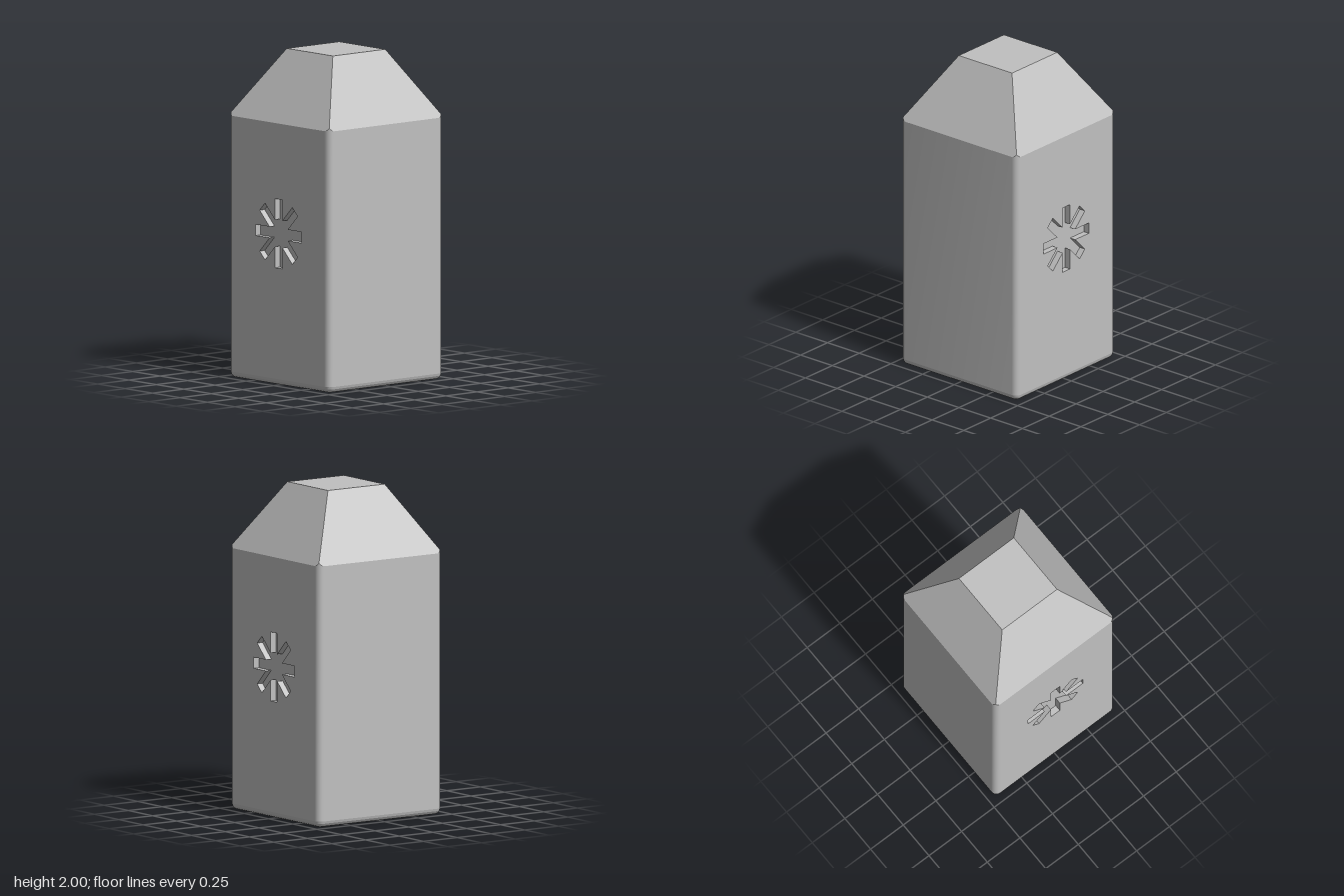
import * as THREE from 'three';
import { mergeGeometries, toCreasedNormals } from 'three/addons/utils/BufferGeometryUtils.js';

const HALF = 0.46, RADIUS = 0.04, FLAT = HALF - RADIUS; // body half width, corner radius
const STEPS = 8, COUNT = 4 * (STEPS + 1);               // points around the rounded square
const TOP = 2, CAP = 0.21, EAVE = 1.59, FOOT = 0.035;
const DEPTH = 0.04;                                     // depth of the recesses

const roofHeight = (x, z) =>
  TOP - (Math.max(Math.abs(x), Math.abs(z)) - CAP) * (TOP - EAVE) / (HALF - CAP);

// Rounded square at a given inset; height is a number or a rule of x and z
function ring(inset, height) {
  const points = [];
  for (let k = 0; k < 4; k++) {
    const cx = k === 0 || k === 3 ? FLAT : -FLAT, cz = k < 2 ? FLAT : -FLAT;
    for (let i = 0; i <= STEPS; i++) {
      const a = (k + i / STEPS) * Math.PI / 2, r = RADIUS - inset;
      const x = cx + r * Math.cos(a), z = cz + r * Math.sin(a);
      points.push(new THREE.Vector3(x, typeof height === 'number' ? height : height(x, z), z));
    }
  }
  return points;
}

// Convex polygons (counter-clockwise from outside) to a creased geometry
function polygons(list) {
  const tris = [];
  for (const p of list)
    for (let i = 1; i < p.length - 1; i++) tris.push(p[0], p[i], p[i + 1]);
  return toCreasedNormals(new THREE.BufferGeometry().setFromPoints(tris), 0.3);
}

function strip(lower, upper, skip = []) {
  const quads = [];
  for (let i = 0; i < COUNT; i++) {
    const j = (i + 1) % COUNT;
    if (!skip.includes(i)) quads.push([lower[j], lower[i], upper[i], upper[j]]);
  }
  return quads;
}

// Flat panel facing +z with sunken shapes; hole outlines run counter-clockwise
function recessedPanel(outline, holes) {
  const shape = new THREE.Shape(outline);
  shape.holes = holes.map(h => new THREE.Path(h));
  const parts = [new THREE.ShapeGeometry(shape).toNonIndexed()];
  const sides = [];
  for (const h of holes) {
    parts.push(new THREE.ShapeGeometry(new THREE.Shape(h)).translate(0, 0, -DEPTH).toNonIndexed());
    h.forEach((p, i) => {
      const q = h[(i + 1) % h.length];
      sides.push([[p, 0], [q, 0], [q, -DEPTH], [p, -DEPTH]]
        .map(([v, z]) => new THREE.Vector3(v.x, v.y, z)));
    });
  }
  parts.forEach(g => g.deleteAttribute('uv'));
  parts.push(polygons(sides));
  return mergeGeometries(parts);
}

const points2 = list => list.map(([x, y]) => new THREE.Vector2(x, y));

// Eight-armed star outline
function starOutline(cy, length, w) {
  const list = [], notch = w / Math.sin(Math.PI / 8);
  for (let k = 0; k < 8; k++) {
    const a = k * Math.PI / 4, c = Math.cos(a), s = Math.sin(a), b = a + Math.PI / 8;
    list.push([length * c + w * s, cy + length * s - w * c],
      [length * c - w * s, cy + length * s + w * c],
      [notch * Math.cos(b), cy + notch * Math.sin(b)]);
  }
  return points2(list);
}

export function createModel() {
  const group = new THREE.Group();
  const grey = new THREE.MeshStandardMaterial({ color: 0xc0c0c0 });
  grey.name = 'light grey';
  const add = (name, geometry) => {
    const mesh = new THREE.Mesh(geometry, grey);
    mesh.name = name;
    group.add(mesh);
    return mesh;
  };

  // Upright walls, left open where the front and back panels go
  const eave = ring(0, roofHeight);
  const frontGap = STEPS, backGap = 3 * STEPS + 2;
  add('walls', polygons(strip(ring(0, FOOT), eave, [frontGap, backGap])));

  // Bevelled bottom edge
  const bevel = [[0.026, 0], [0.012, 0.008], [0.004, 0.02], [0, FOOT]].map(([i, y]) => ring(i, y));
  add('bottomBevel', polygons(bevel.slice(1).flatMap((r, i) => strip(bevel[i], r))));

  // Sloping roof faces and the flat cap
  const cap = [[1, 1], [-1, 1], [-1, -1], [1, -1]].map(([x, z]) => new THREE.Vector3(x * CAP, TOP, z * CAP));
  const slopes = cap.map((corner, k) => {
    const face = [];
    const start = k * (STEPS + 1) + STEPS / 2;
    for (let i = 0; i <= STEPS + 1; i++) face.push(eave[(start + i) % COUNT]);
    return [...face, cap[(k + 1) % 4], corner].reverse();
  });
  add('roof', polygons([...slopes, [...cap].reverse()]));

  // Front and back panels with the sunken star
  const panel = recessedPanel(
    points2([[-FLAT, FOOT], [FLAT, FOOT], [FLAT, EAVE], [-FLAT, EAVE]]),
    [starOutline(0.92, 0.21, 0.034)]);
  add('frontPanel', panel).position.z = HALF;
  const back = add('backPanel', panel);
  back.position.z = -HALF;
  back.rotation.y = Math.PI;

  // Base with two sunken chevrons and a bar
  const chevron = x => points2([[x, 0], [x + 0.16, -0.17], [x + 0.24, -0.17],
    [x + 0.08, 0], [x + 0.24, 0.17], [x + 0.16, 0.17]]);
  const bar = points2([[-0.3, -0.18], [-0.24, -0.18], [-0.24, 0.18], [-0.3, 0.18]]);
  const base = add('base', recessedPanel(
    bevel[0].map(p => new THREE.Vector2(p.x, p.z)), [chevron(0.03), chevron(-0.18), bar]));
  base.rotation.x = Math.PI / 2;

  return group;
}
